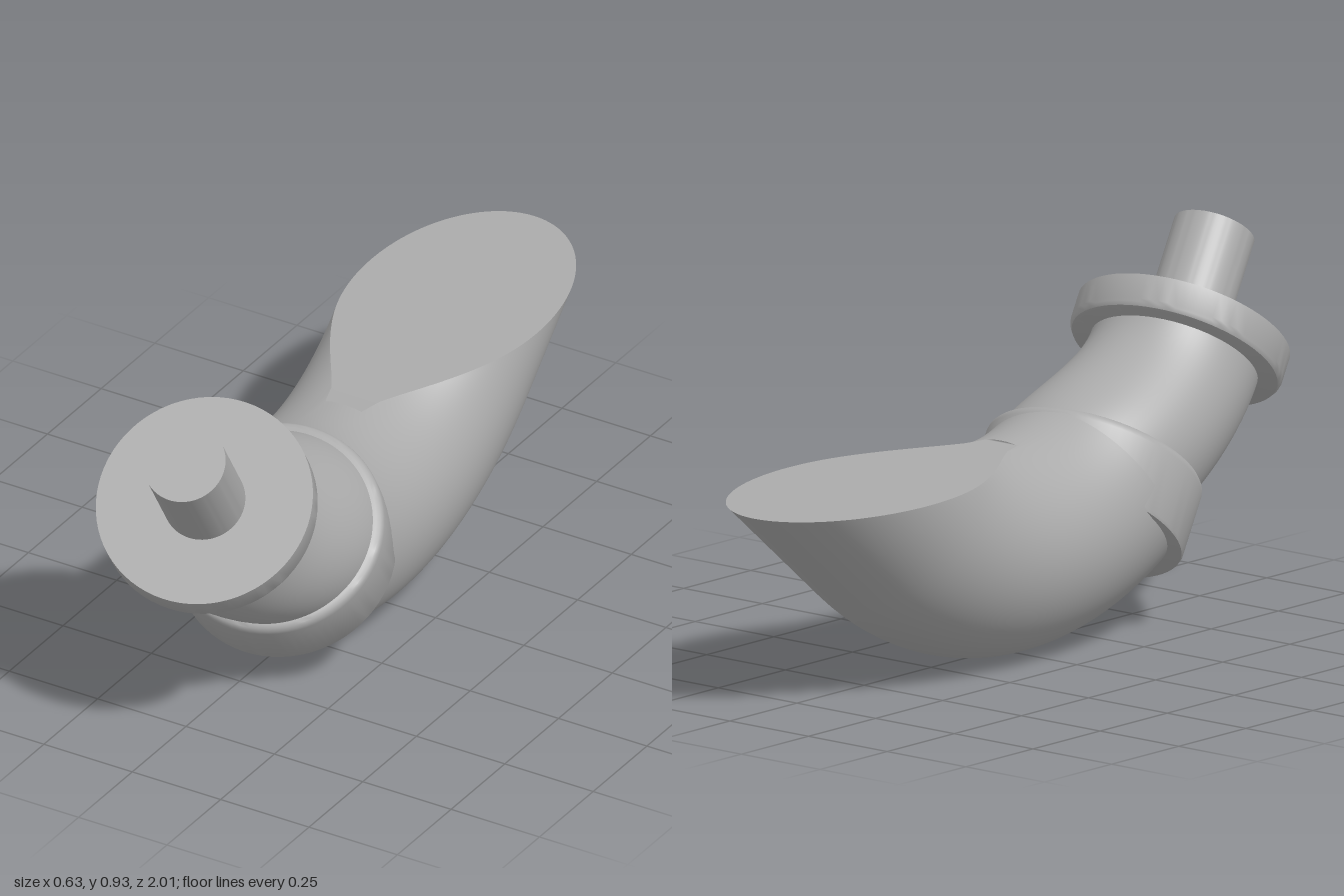
import * as THREE from 'three';
import { mergeVertices, toCreasedNormals } from 'three/addons/utils/BufferGeometryUtils.js';

const grey = new THREE.MeshStandardMaterial({ color: 0xaaaaaa });
grey.name = 'grey';

const V = (x, y, z) => new THREE.Vector3(x, y, z);
const axis = V(0.163, 0.769, 0.617).normalize(); // shared by collar, flange and peg

// Surface from fn(u, v) with u, v in 0..1; front side is along du x dv
function grid(fn, nu, nv) {
  const pos = [], idx = [];
  for (let j = 0; j <= nv; j++)
    for (let i = 0; i <= nu; i++) pos.push(...fn(i / nu, j / nv).toArray());
  for (let j = 0; j < nv; j++)
    for (let i = 0; i < nu; i++) {
      const a = j * (nu + 1) + i, c = a + nu + 1;
      idx.push(a, a + 1, c, a + 1, c + 1, c);
    }
  const g = new THREE.BufferGeometry();
  g.setAttribute('position', new THREE.Float32BufferAttribute(pos, 3));
  g.setIndex(idx);
  const welded = mergeVertices(g, 1e-5);
  welded.computeVertexNormals();
  return welded;
}

// Horn: a tube following an arc and then a straight run, cut off level
const BEND = 0.74, TUBE = 0.26, ARC_END = 0.663, CUT = 0.515;
function hornPoint(phi, s) {
  const rho = BEND - TUBE * Math.cos(phi);
  const a = Math.min(s, ARC_END), run = (s - a) * BEND;
  const y = 1 - rho * Math.cos(a) + run * Math.sin(a);
  const z = -rho * Math.sin(a) - run * Math.cos(a);
  return V(TUBE * Math.sin(phi) - 0.01 + 0.07 * z, y, z);
}
// Where the tube line at phi meets the level cut
function hornEnd(phi) {
  const rho = BEND - TUBE * Math.cos(phi);
  const c = (1 - CUT) / rho;
  if (c >= 1) return 0;
  const a = Math.acos(c);
  if (a <= ARC_END) return a;
  return ARC_END + (CUT - 1 + rho * Math.cos(ARC_END)) / (BEND * Math.sin(ARC_END));
}

export function createModel() {
  const group = new THREE.Group();
  const add = (name, geometry) => {
    const mesh = new THREE.Mesh(geometry, grey);
    mesh.name = name;
    group.add(mesh);
    return mesh;
  };
  // Turned part standing on a base point along the shared axis
  const turned = (name, base, profile) => {
    const lathe = new THREE.LatheGeometry(profile.map(p => new THREE.Vector2(...p)), 72);
    const mesh = add(name, toCreasedNormals(lathe, 0.6));
    mesh.position.copy(base);
    mesh.quaternion.setFromUnitVectors(V(0, 1, 0), axis);
  };

  // Horn wall and its flat cut face
  add('hornWall', grid((u, v) => {
    const phi = u * Math.PI * 2;
    const start = -0.47 + 0.05 * Math.cos(phi);
    return hornPoint(phi, THREE.MathUtils.lerp(start, hornEnd(phi), v));
  }, 96, 40));
  add('hornCutFace', grid((u, v) => {
    const phi = v * Math.PI, end = hornEnd(phi);
    return hornPoint(-phi, end).lerp(hornPoint(phi, end), u);
  }, 1, 48));

  // Collar with a rounded upper rim
  const collarTop = V(0.035, 0.4, 0.405);
  const collarBase = collarTop.clone().addScaledVector(axis, -0.19);
  turned('collar', collarBase, [
    [0, 0], [0.262, 0], [0.269, 0.003], [0.272, 0.01], [0.272, 0.168],
    [0.27, 0.178], [0.264, 0.186], [0.255, 0.19], [0, 0.19],
  ]);

  // Flange with an eased lower edge, and the peg on it
  const flangeTop = V(0.058, 0.66, 0.76);
  const flangeBase = flangeTop.clone().addScaledVector(axis, -0.085);
  turned('flange', flangeBase, [
    [0, 0], [0.25, 0], [0.259, 0.003], [0.265, 0.012], [0.267, 0.02], [0.267, 0.085], [0, 0.085],
  ]);
  turned('peg', flangeTop, [[0, -0.01], [0.101, -0.01], [0.101, 0.264], [0, 0.264]]);

  // Neck: parallel rings that slide from collar to flange while narrowing
  const path = new THREE.CubicBezierCurve3(
    collarTop.clone().addScaledVector(axis, -0.01),
    V(0.037, 0.455, 0.51),
    flangeBase.clone().addScaledVector(axis, -0.1),
    flangeBase.clone().addScaledVector(axis, 0.005));
  const e1 = V(1, 0, 0).addScaledVector(axis, -axis.x).normalize();
  const e2 = axis.clone().cross(e1);
  add('neck', grid((u, v) => {
    const r = 0.25 - 0.04 * THREE.MathUtils.smoothstep(v, 0, 1), t = u * Math.PI * 2;
    return path.getPoint(v)
      .addScaledVector(e1, r * Math.cos(t))
      .addScaledVector(e2, r * Math.sin(t));
  }, 72, 24));

  return group;
}
